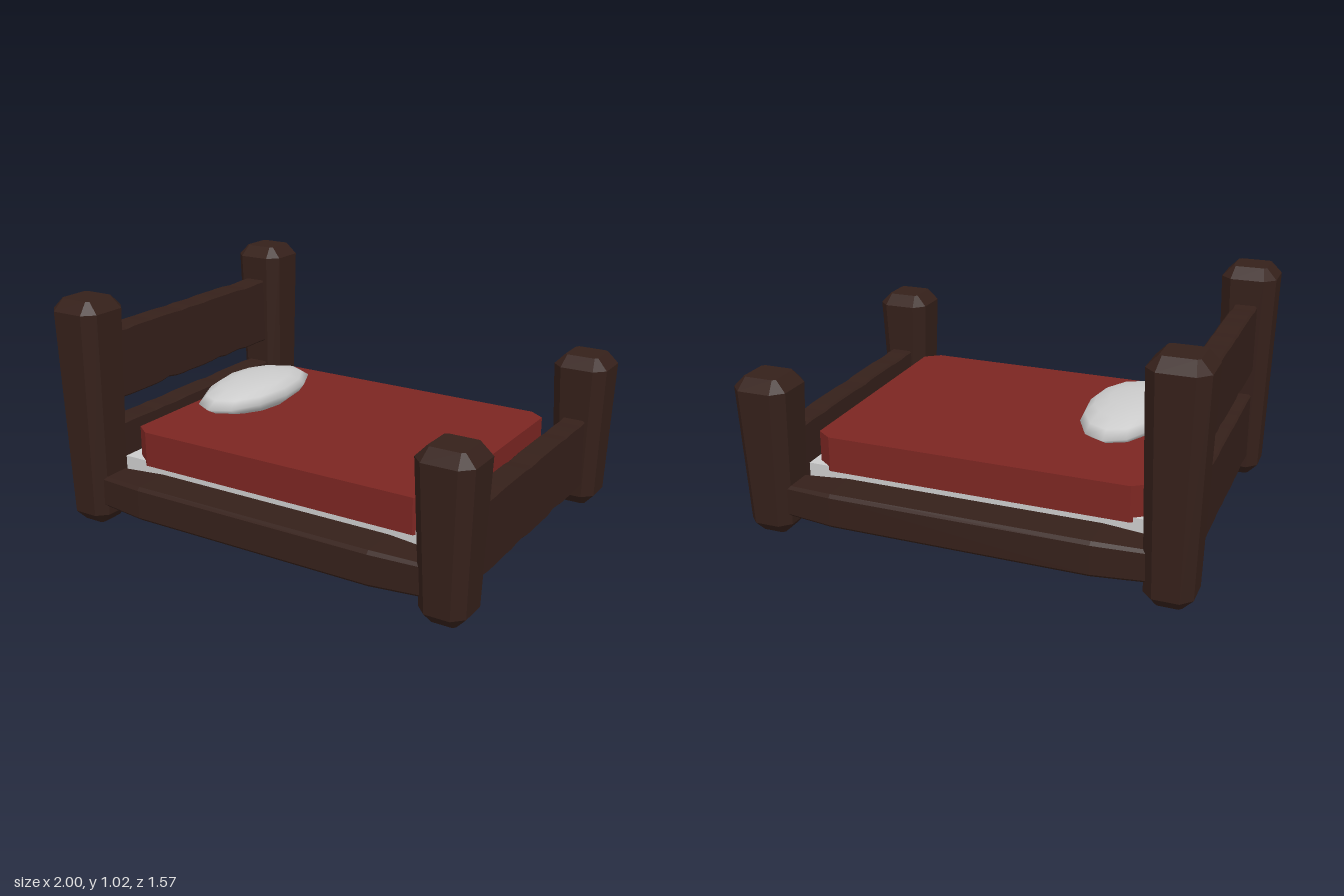
import * as THREE from 'three';

const material = (color, flatShading = true) => new THREE.MeshStandardMaterial({ color, flatShading });

// Square-cornered ring with cut corners, counter-clockwise from above
function cutRect(y, hx, hz, cx, cz = cx) {
  return [[hx, -hz + cz], [hx - cx, -hz], [-hx + cx, -hz], [-hx, -hz + cz],
    [-hx, hz - cz], [-hx + cx, hz], [hx - cx, hz], [hx, hz - cz]].map(([x, z]) => [x, y, z]);
}

// Skin a stack of rings from bottom to top, with a fan cap at each end
function loft(rings) {
  const n = rings[0].length, pos = rings.flat(2), idx = [];
  for (let r = 0; r < rings.length - 1; r++) {
    for (let i = 0; i < n; i++) {
      const a = r * n + i, b = r * n + (i + 1) % n;
      idx.push(a, b, b + n, a, b + n, a + n);
    }
  }
  [0, rings.length - 1].forEach((r, top) => {
    const c = pos.length / 3;
    pos.push(...[0, 1, 2].map(k => rings[r].reduce((s, p) => s + p[k], 0) / n));
    for (let i = 0; i < n; i++) {
      const a = r * n + i, b = r * n + (i + 1) % n;
      if (top) idx.push(c, a, b); else idx.push(c, b, a);
    }
  });
  const g = new THREE.BufferGeometry();
  g.setAttribute('position', new THREE.Float32BufferAttribute(pos, 3));
  g.setIndex(idx);
  g.computeVertexNormals();
  return g;
}

// Post widening upward, with bevelled foot and cap
function postGeometry(height) {
  return loft([
    cutRect(0, 0.055, 0.06, 0.012),
    cutRect(0.05, 0.1, 0.105, 0.045),
    cutRect(height - 0.05, 0.123, 0.123, 0.048),
    cutRect(height, 0.076, 0.076, 0.012),
  ]);
}

// Worn plank: rough upper and lower edges, spanning z
function plankGeometry(y0, y1, phase) {
  const half = 0.6, steps = 22, shape = new THREE.Shape();
  const rough = i => 0.006 * Math.max(0, Math.sin(i * 1.9 + phase) + Math.sin(i * 0.8 + phase * 2));
  for (let i = 0; i <= steps; i++) {
    const z = -half + 2 * half * i / steps;
    if (i) shape.lineTo(z, y0 + rough(i)); else shape.moveTo(z, y0 + rough(i));
  }
  for (let i = steps; i >= 0; i--) shape.lineTo(-half + 2 * half * i / steps, y1 - rough(i + 5) * 0.5);
  const g = new THREE.ExtrudeGeometry(shape, {
    depth: 0.09, bevelEnabled: true, bevelSize: 0.008, bevelOffset: -0.008, bevelThickness: 0.008, bevelSegments: 1,
  });
  return g.translate(0, 0, -0.045).rotateY(Math.PI / 2);
}

export function createModel() {
  const bed = new THREE.Group();
  bed.name = 'bed';
  const wood = material(0x35201a), red = material(0x7c2622);
  const grey = material(0xcccccc), soft = material(0xcccccc, false);
  const add = (name, geometry, mat, x = 0, y = 0, z = 0) => {
    const mesh = new THREE.Mesh(geometry, mat);
    mesh.name = name;
    mesh.position.set(x, y, z);
    bed.add(mesh);
    return mesh;
  };

  // Corner posts and side rails
  const headPost = postGeometry(1.02), footPost = postGeometry(0.71);
  const rail = loft([
    cutRect(-0.8, 0.07, 0.068, 0.012), cutRect(-0.57, 0.077, 0.093, 0.014),
    cutRect(0.57, 0.077, 0.093, 0.014), cutRect(0.8, 0.07, 0.068, 0.012),
  ]).rotateZ(-Math.PI / 2);
  for (const [side, s] of [['Front', 1], ['Back', -1]]) {
    add('headPost' + side, headPost, wood, -0.877, 0, s * 0.664);
    add('footPost' + side, footPost, wood, 0.877, 0, s * 0.664);
    add('sideRail' + side, rail, wood, 0, 0.163, s * 0.668);
  }

  // End planks
  add('headUpperPlank', plankGeometry(0.535, 0.855, 1), wood, -0.877);
  add('headLowerPlank', plankGeometry(0.105, 0.425, 2.5), wood, -0.877);
  add('footPlank', plankGeometry(0.105, 0.425, 4), wood, 0.877);

  // Base slab under the mattress
  add('baseSlab', new THREE.BoxGeometry(1.57, 0.175, 1.135), grey, -0.015, 0.1875, 0);

  // Mattress with cut corners
  add('mattress', loft([
    cutRect(0.255, 0.74, 0.575, 0.07, 0.05), cutRect(0.413, 0.74, 0.575, 0.07, 0.05),
  ]), red, -0.005, 0, 0);

  // Pillow: oval rings swelling to a sharp seam at mid height
  const oval = (y, sx, sz = sx) => Array.from({ length: 12 }, (_, i) => {
    const a = i * Math.PI / 6;
    return [0.178 * sx * Math.cos(a), y, -0.362 * sz * Math.sin(a)];
  });
  const half = s => [[0, 1], [0.03, 0.92, 0.85], [0.055, 0.75, 0.6], [0.068, 0.42, 0.3]]
    .map(([y, sx, sz]) => oval(s * y, sx, sz));
  add('pillow', loft([...half(-1).reverse(), ...half(1).slice(1)]), soft, -0.488, 0.487, 0.003);

  return bed;
}
